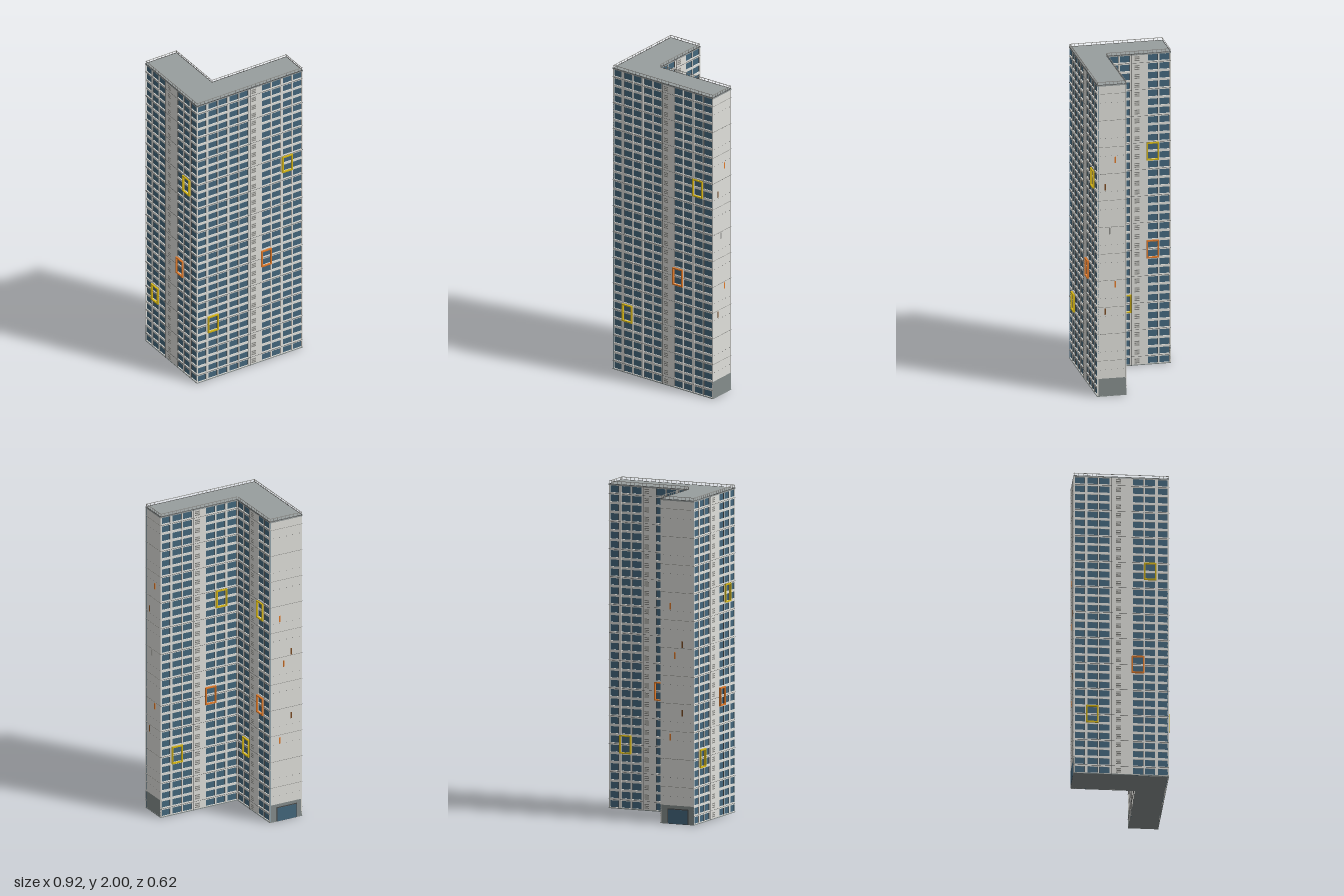
import * as THREE from 'three';
import { mergeGeometries } from 'three/addons/utils/BufferGeometryUtils.js';

const LONG = 0.758, DEEP = 0.577, W1 = 0.225, W2 = 0.182; // L-plan lengths and wing widths
const FLOORS = 35, H = 1.98, FH = H / FLOORS, RECESS = 0.008;

const mat = (name, color) => {
  const m = new THREE.MeshStandardMaterial({ color });
  m.name = name;
  return m;
};

// Box given by x, y centre, back face z, and its size
const box = (x, y, z, w, h, d) => new THREE.BoxGeometry(w, h, d).translate(x, y, z + d / 2);

function add(group, name, material, geos) {
  const mesh = new THREE.Mesh(Array.isArray(geos) ? mergeGeometries(geos) : geos, material);
  mesh.name = name;
  group.add(mesh);
  return mesh;
}

// L outline grown by d (u to the right, v to the back)
const outline = (d) => [
  [-d, -d], [LONG + d, -d], [LONG + d, W2 + d], [W1 + d, W2 + d], [W1 + d, DEEP + d], [-d, DEEP + d],
].map(([u, v]) => new THREE.Vector2(u, v));

const slab = (d, y, h) =>
  new THREE.ExtrudeGeometry(new THREE.Shape(outline(d)), { depth: h, bevelEnabled: false })
    .rotateX(-Math.PI / 2).translate(0, y, 0);

export function createModel() {
  const concrete = mat('lightConcrete', 0xe0e0db);
  const glass = mat('blueGlass', 0x44677d);
  const roofGrey = mat('roofGrey', 0x989e9e);
  const baseGrey = mat('baseGrey', 0x858d8c);
  const dark = mat('darkMetal', 0x4a4b4b);
  const louvre = mat('louvreGrey', 0x8c8c88);
  const yellow = mat('yellowFrame', 0xd8b818);
  const orange = mat('orangeFrame', 0xe07a2a);
  const brown = mat('brownMark', 0x7a4a22);

  // Windowed side: bays left and right of a service strip
  function facade(name, len, left, right, frames) {
    const g = new THREE.Group();
    g.name = name;
    const n = left + right, bay = 0.0752, strip = len - n * bay;
    const start = (i) => i * bay + (i >= left ? strip : 0);
    const panes = [], piers = [], bands = [], jambs = [], vents = [], belts = [];
    for (let i = 0; i < n; i++) {
      const x = start(i), c = x + bay / 2;
      panes.push(box(c, H / 2, -RECESS, bay, H, 0.002));
      // Piers are wider between pairs of bays
      [[x, 1, i], [x + bay, -1, i + 1]].forEach(([edge, s, k]) => {
        const w = Math.abs(k - left) % 2 === 0 ? 0.008 : 0.004;
        piers.push(box(edge + s * w / 2, H / 2, -RECESS, w, H, RECESS));
        jambs.push(box(edge + s * (w + 0.0006), H / 2, -RECESS, 0.0012, H, RECESS - 0.0015));
      });
      for (let f = 0; f <= FLOORS; f++) {
        const h = f === 0 || f === FLOORS ? 0.008 : 0.015;
        const y = f === 0 ? h / 2 : f === FLOORS ? H - h / 2 : f * FH;
        bands.push(box(c, y, -RECESS, bay, h, RECESS - 0.001));
      }
    }
    // Service strip with louvres on every floor
    const s0 = left * bay;
    piers.push(box(s0 + strip / 2, H / 2, -RECESS, strip, H, RECESS));
    for (let f = 0; f < FLOORS; f++) {
      for (let k = 0; k < 3; k++) {
        vents.push(box(s0 + strip * 0.36, (f + 0.3 + k * 0.2) * FH, 0, 0.03, 0.006, 0.003));
      }
    }
    // Thin dark belts every third floor
    for (let f = 1; f < FLOORS; f += 3) belts.push(box(len / 2, f * FH, -0.002, len, 0.001, 0.004));
    add(g, 'windows', glass, panes);
    add(g, 'piers', concrete, piers);
    add(g, 'floorBands', concrete, bands);
    add(g, 'jambs', dark, jambs);
    add(g, 'louvres', louvre, vents);
    add(g, 'stripEdge', dark, box(s0 + 0.004, H / 2, 0, 0.003, H, 0.002));
    add(g, 'belts', dark, belts);
    // Coloured frames around one bay, two floors high
    frames.forEach(([i, f, m]) => {
      const x = start(i) + bay / 2, y = (f + 1) * FH, w = bay, h = 2 * FH, t = 0.008, d = 0.011;
      add(g, 'accentFrame', m, [
        box(x - w / 2 + t / 2, y, 0, t, h, d), box(x + w / 2 - t / 2, y, 0, t, h, d),
        box(x, y - h / 2 + t / 2, 0, w, t, d), box(x, y + h / 2 - t / 2, 0, w, t, d),
      ]);
    });
    return g;
  }

  // Blank end wall with panel joints, fixings, marks and a darker base
  function endWall(name, len, seam, marks, door) {
    const g = new THREE.Group();
    g.name = name;
    const baseH = 2 * FH;
    add(g, 'wallPanel', concrete, box(len / 2, (H + baseH) / 2, -RECESS, len, H - baseH, RECESS));
    add(g, 'basePanel', baseGrey, box(len / 2, baseH / 2, -RECESS, len, baseH, RECESS));
    const joints = [box(seam * len, (H + baseH) / 2, 0, 0.002, H - baseH, 0.001)], dots = [];
    for (let f = 4; f < FLOORS; f += 3) joints.push(box(len / 2, f * FH, 0, len, 0.002, 0.001));
    for (let f = 3; f < FLOORS; f += 2) {
      for (let k = 0; k < 5; k++) dots.push(box(len * (k + 0.5) / 5, f * FH, 0, 0.003, 0.003, 0.002));
    }
    add(g, 'panelJoints', louvre, joints);
    add(g, 'fixings', dark, dots);
    marks.forEach(([t, y, m]) => add(g, 'wallMark', m, box(t * len, y, 0, 0.009, 0.04, 0.003)));
    if (door) {
      add(g, 'entranceFrame', dark, box(len * 0.52, 0.047, 0, 0.14, 0.094, 0.002));
      add(g, 'entranceGlass', glass, box(len * 0.52, 0.045, 0.002, 0.13, 0.086, 0.002));
    }
    return g;
  }

  const tower = new THREE.Group();
  tower.name = 'tower';
  add(tower, 'core', concrete, slab(-RECESS, 0.004, H - 0.01));
  add(tower, 'foundation', baseGrey, slab(0.001, 0, 0.005));
  add(tower, 'roof', roofGrey, slab(0.001, H - 0.007, 0.008));

  // Sides in order around the plan
  const sides = [
    facade('frontFacade', LONG, 5, 4, [[1, 6, yellow], [5, 12, orange], [7, 23, yellow]]),
    endWall('leftEndWall', W2, 0.97, [[0.62, 1.5, orange], [0.62, 0.71, orange],
      [0.27, 1.33, brown], [0.27, 0.54, brown], [0.43, 1.05, louvre]], false),
    facade('backFacade', LONG - W1, 3, 3, [[1, 6, yellow], [3, 12, orange], [4, 23, yellow]]),
    facade('innerFacade', DEEP - W2, 2, 2, [[1, 6, yellow], [2, 12, orange], [2, 23, yellow]]),
    endWall('backEndWall', W1, 0.76, [[0.3, 1.33, orange], [0.3, 0.53, orange],
      [0.43, 1.03, orange], [0.65, 1.1, brown], [0.65, 0.68, brown]], true),
    facade('rightFacade', DEEP, 3, 3, [[1, 6, yellow], [3, 12, orange], [4, 23, yellow]]),
  ];
  const pts = outline(0);
  sides.forEach((side, i) => {
    const p = pts[i], q = pts[(i + 1) % pts.length], len = p.distanceTo(q);
    side.position.set(p.x, 0, -p.y);
    side.rotation.y = Math.atan2(q.y - p.y, q.x - p.x);
    // Roof edge and railing
    const rails = [box(len / 2, 1.9985, -0.005, len, 0.003, 0.002)];
    const count = Math.round(len / 0.028);
    for (let k = 0; k <= count; k++) {
      rails.push(box(0.003 + (len - 0.006) * k / count, 1.99, -0.005, 0.002, 0.018, 0.002));
    }
    add(side, 'railing', louvre, rails);
    add(side, 'roofEdge', dark, box(len / 2, H + 0.001, -0.003, len, 0.003, 0.004));
    tower.add(side);
  });

  // Turn the L plan and place it about the centre
  tower.rotation.y = Math.atan2(0.27, 0.705);
  tower.position.set(-0.251, 0, 0.306);
  const model = new THREE.Group();
  model.name = 'apartmentTower';
  model.add(tower);
  return model;
}
